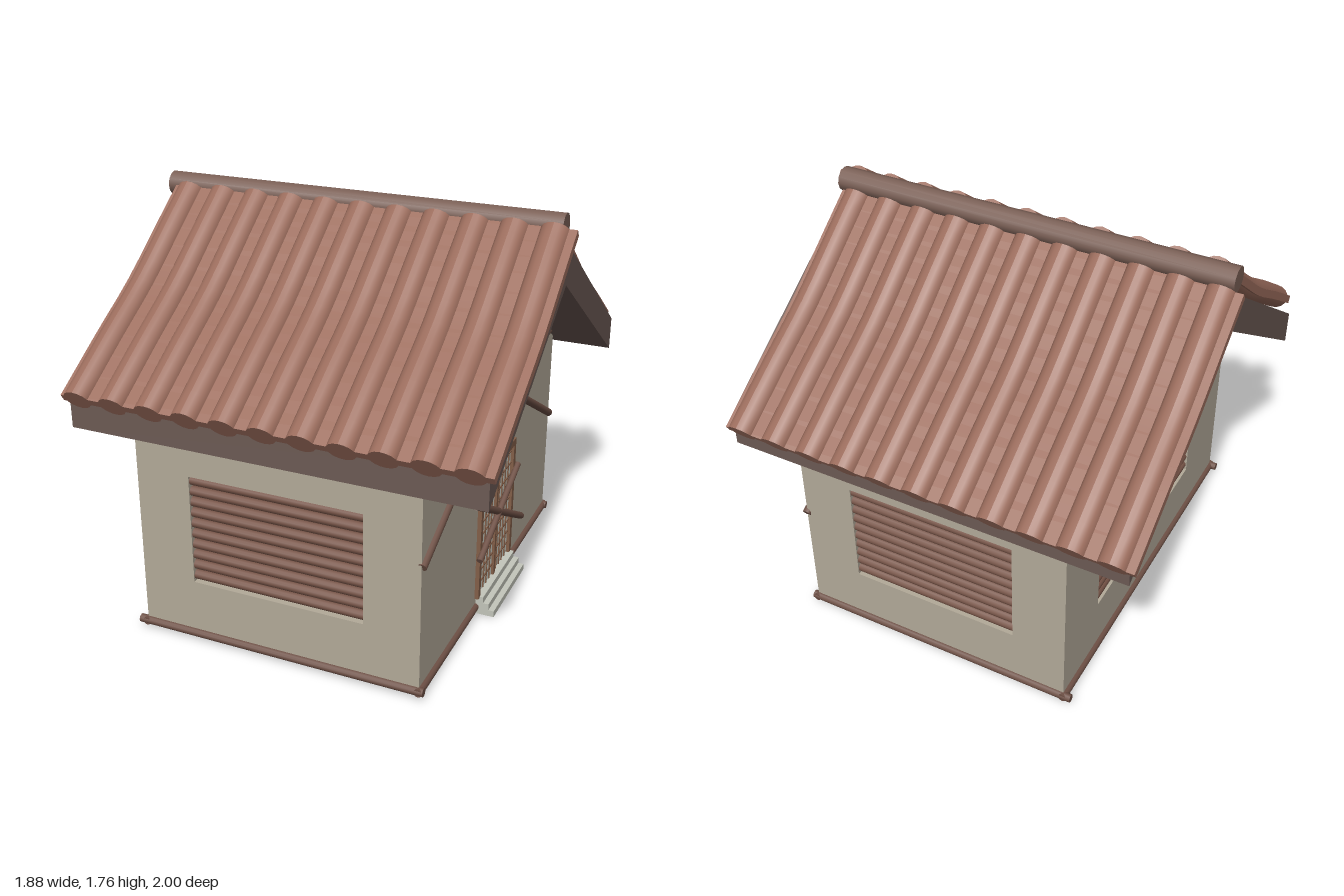
import * as THREE from 'three';

const mat = (color, extra = {}) => new THREE.MeshStandardMaterial({ color, ...extra });
const M = {
  wall: mat(0xb3aa99), gable: mat(0xd0bea8), roof: mat(0x6c5a54), tile: mat(0x9c6d5d),
  ridge: mat(0x7b6056), beam: mat(0x6f5146), slat: mat(0x795649), frame: mat(0x835f49),
  paper: mat(0xd2d4ca), stone: mat(0xc4c6bb),
};
// Wall extents
const X0 = -0.61, X1 = 0.63, Z0 = -0.82, Z1 = 0.87, Y0 = 0.03, Y1 = 1.0;

export function createModel() {
  const house = new THREE.Group();
  house.name = 'house';

  const add = (name, geometry, material, parent = house) => {
    const mesh = new THREE.Mesh(geometry, material);
    mesh.name = name;
    parent.add(mesh);
    return mesh;
  };
  const group = (name) => {
    const g = new THREE.Group();
    g.name = name;
    house.add(g);
    return g;
  };
  // Box given by its lower and upper corners
  const box = (name, a, b, material, parent) => {
    const mesh = add(name, new THREE.BoxGeometry(b[0] - a[0], b[1] - a[1], b[2] - a[2]), material, parent);
    mesh.position.set((a[0] + b[0]) / 2, (a[1] + b[1]) / 2, (a[2] + b[2]) / 2);
    return mesh;
  };
  // Round log between two points
  const log = (name, a, b, r, material, parent) => {
    const p = new THREE.Vector3(...a), q = new THREE.Vector3(...b);
    const mesh = add(name, new THREE.CylinderGeometry(r, r, p.distanceTo(q), 12), material, parent);
    mesh.position.copy(p).add(q).multiplyScalar(0.5);
    mesh.quaternion.setFromUnitVectors(new THREE.Vector3(0, 1, 0), q.sub(p).normalize());
    return mesh;
  };
  // Outline of [z, y] points extruded along x
  const extrudeX = (points, xa, xb) => {
    const shape = new THREE.Shape(points.map(([z, y]) => new THREE.Vector2(-z, y)));
    return new THREE.ExtrudeGeometry(shape, { depth: xb - xa, bevelEnabled: false })
      .rotateY(Math.PI / 2).translate(xa, 0, 0);
  };

  // Walls: a core with outer panels that leave the window recesses open
  const D = 0.05;
  box('wallCore', [X0 + D, Y0, Z0 + D], [X1, Y1, Z1 - D], M.wall);
  const panel = (name, u0, u1, h0, h1) => {
    const shape = new THREE.Shape([[u0, Y0], [u1, Y0], [u1, Y1], [u0, Y1]].map((p) => new THREE.Vector2(...p)));
    shape.holes.push(new THREE.Path([[h0, 0.28], [h0, 0.765], [h1, 0.765], [h1, 0.28]].map((p) => new THREE.Vector2(...p))));
    return add(name, new THREE.ExtrudeGeometry(shape, { depth: D, bevelEnabled: false }), M.wall);
  };
  panel('frontWall', X0, X1, -0.37, 0.39).position.z = Z1 - D;
  panel('backWall', X0, X1, -0.37, 0.39).position.z = Z0;
  const side = panel('rightWall', -Z1 + D, -Z0 - D, -0.5, 0.5);
  side.rotation.y = Math.PI / 2;
  side.position.x = X0;

  // Window slats
  const windows = group('windowSlats');
  for (let i = 0; i < 10; i++) {
    const y = 0.307 + i * 0.0483;
    log('frontSlat', [-0.37, y, Z1 - 0.025], [0.39, y, Z1 - 0.025], 0.021, M.slat, windows);
    log('backSlat', [-0.37, y, Z0 + 0.025], [0.39, y, Z0 + 0.025], 0.021, M.slat, windows);
    log('rightSlat', [X0 + 0.025, y, -0.5], [X0 + 0.025, y, 0.5], 0.021, M.slat, windows);
  }

  // Gable and roof boards
  add('gable', extrudeX([[0.83, 0.99], [0, 1.53], [-0.81, 0.99]], X0, X1), M.gable);
  add('roofBoards', extrudeX([[0.885, 0.89], [0.885, 1.04], [0, 1.64], [-0.9, 1.04], [-0.9, 0.89], [0, 1.47]], -0.9, 0.885), M.roof);

  // Tiled slopes: parts run along y from 0 to 1 and are bent to the sagging roof line
  const line = new THREE.CatmullRomCurve3(
    [[0.97, 1.06], [0.7, 1.235], [0.46, 1.385], [0.22, 1.565], [0.04, 1.7]].map(([z, y]) => new THREE.Vector3(0, y, z)));
  const bend = (geometry) => {
    const pos = geometry.attributes.position;
    for (let i = 0; i < pos.count; i++) {
      const t = THREE.MathUtils.clamp(pos.getY(i) + 0.5, 0, 1), n = pos.getZ(i);
      const p = line.getPoint(t), d = line.getTangent(t);
      pos.setXYZ(i, pos.getX(i), p.y - d.z * n, p.z + d.y * n);
    }
    geometry.computeVertexNormals();
    return geometry;
  };
  const slope = (name) => {
    const g = group(name);
    add('tileSheet', bend(new THREE.BoxGeometry(1.8, 1, 0.035, 1, 12, 1).translate(0.03, 0, 0)), M.tile, g);
    for (let i = 0; i < 11; i++) {
      const round = new THREE.CylinderGeometry(1, 1, 1, 16, 12).scale(0.06, 1, 0.052);
      add('tileColumn', bend(round.translate(-0.8 + i * 0.164, 0, 0)), M.tile, g);
    }
    return g;
  };
  slope('frontTiles');
  const back = slope('backTiles');
  back.rotation.y = Math.PI;
  back.position.set(-0.02, -0.03, -0.005);
  log('ridgePole', [-0.91, 1.71, -0.005], [0.87, 1.71, -0.005], 0.053, M.ridge);

  // Logs around the foot of the walls
  const trim = group('footLogs');
  for (const z of [Z0, Z1]) log('footLog', [X0 - 0.035, 0.035, z], [X1 + 0.02, 0.035, z], 0.018, M.beam, trim);
  log('footLog', [X0, 0.035, Z0 - 0.015], [X0, 0.035, Z1 + 0.015], 0.018, M.beam, trim);
  log('footLog', [X1, 0.035, 0.21], [X1, 0.035, Z1 + 0.015], 0.018, M.beam, trim);
  log('footLog', [X1, 0.035, Z0 - 0.015], [X1, 0.035, -0.22], 0.018, M.beam, trim);

  // Beams on the gable ends
  const beams = group('gableBeams');
  for (const x of [X0, X1]) log('tieBeam', [x, 1.0, Z0], [x, 1.0, Z1 - 0.03], 0.019, M.beam, beams);
  log('brace', [X1, 0.59, 0.865], [X1, 1.0, 0], 0.019, M.beam, beams);
  log('brace', [X1, 0.54, -0.825], [X1, 1.0, 0], 0.019, M.beam, beams);

  // Sliding door with paper panes and lattice
  const door = group('door');
  box('paper', [X1 - 0.01, 0.08, -0.21], [X1 + 0.003, 0.64, 0.2], M.paper, door);
  box('doorPost', [X1 - 0.01, 0.08, 0.195], [X1 + 0.018, 0.66, 0.22], M.frame, door);
  box('doorPost', [X1 - 0.01, 0.08, -0.235], [X1 + 0.018, 0.66, -0.208], M.frame, door);
  box('lintel', [X1 - 0.01, 0.63, -0.235], [X1 + 0.018, 0.66, 0.22], M.frame, door);
  box('middleStile', [X1 - 0.01, 0.08, -0.012], [X1 + 0.015, 0.635, 0.008], M.frame, door);
  for (const z of [0.165, 0.125, 0.085, 0.045, -0.05, -0.09, -0.13, -0.17]) {
    box('latticeBar', [X1, 0.08, z - 0.003], [X1 + 0.008, 0.635, z + 0.003], M.frame, door);
  }
  for (let i = 0; i < 9; i++) {
    const y = 0.14 + i * 0.058;
    box('latticeRail', [X1, y - 0.003, -0.21], [X1 + 0.008, y + 0.003, 0.2], M.frame, door);
  }

  // Planks barring the door
  log('crossPlank', [X1 + 0.024, 0.58, 0.31], [X1 + 0.024, 0.21, -0.35], 0.016, M.beam);
  log('crossPlank', [X1 + 0.026, 0.29, 0.25], [X1 + 0.026, 0.525, -0.25], 0.014, M.beam);

  // Stone steps
  const steps = group('steps');
  [0.715, 0.69, 0.665].forEach((x, i) => {
    box('step', [0.6, i * 0.029, -0.23], [x, (i + 1) * 0.029, 0.205], M.stone, steps);
  });

  return house;
}
